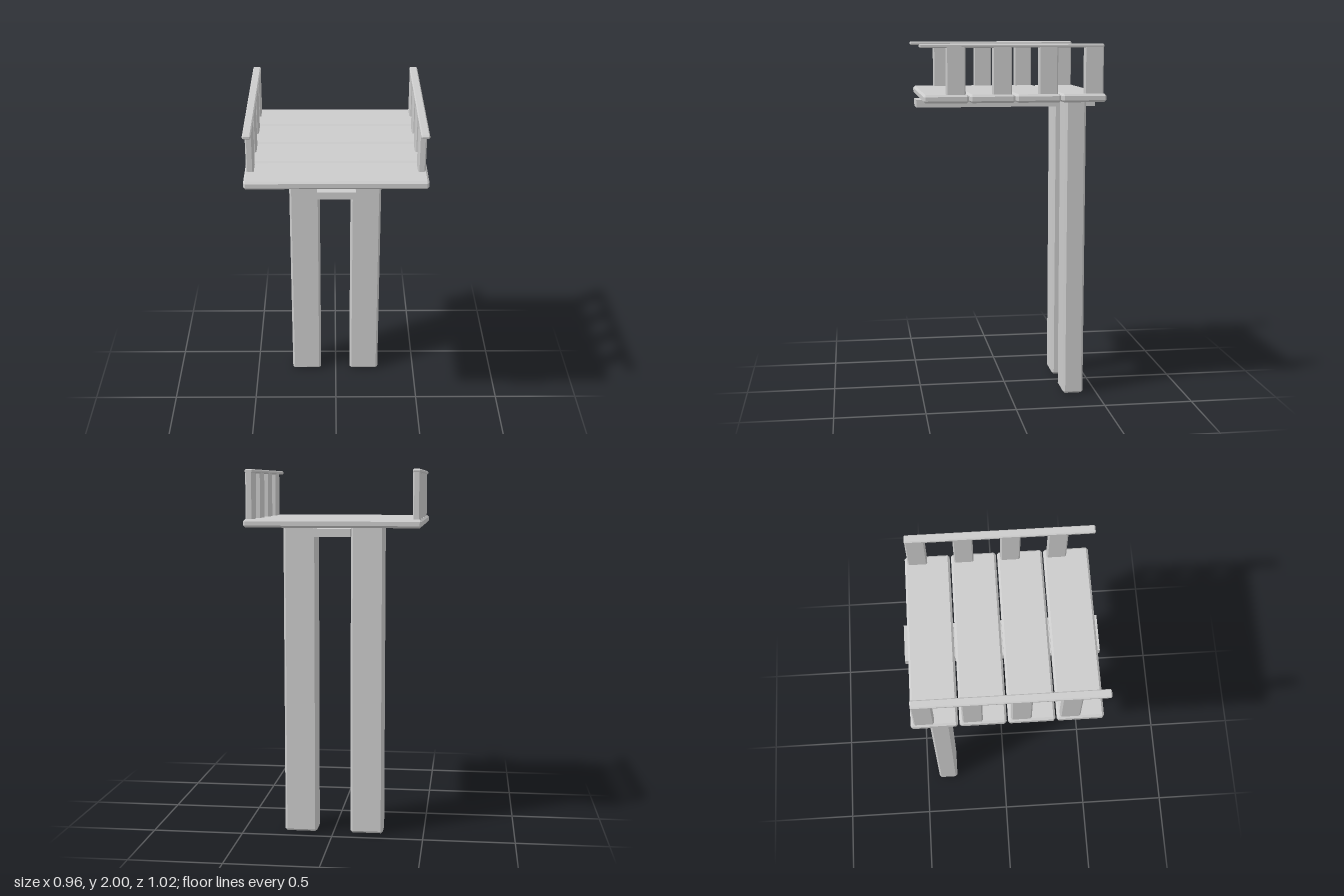
import * as THREE from 'three';
import { ConvexGeometry } from 'three/addons/geometries/ConvexGeometry.js';

// Box with chamfered edges, as the hull of its 24 corner points
function chamferBox(w, h, d, b) {
  const half = [w / 2, h / 2, d / 2];
  const points = [];
  for (const sx of [-1, 1]) for (const sy of [-1, 1]) for (const sz of [-1, 1]) {
    for (let full = 0; full < 3; full++) {
      const p = half.map((v, i) => (i === full ? v : v - b));
      points.push(new THREE.Vector3(sx * p[0], sy * p[1], sz * p[2]));
    }
  }
  return new ConvexGeometry(points);
}

export function createModel() {
  const model = new THREE.Group();
  model.name = 'raisedPlatform';
  const grey = new THREE.MeshStandardMaterial({ color: 0xcccccc });
  grey.name = 'plain grey';

  // Adds a box spanning the given ranges, chamfered when bevel > 0
  function part(name, [x0, x1], [y0, y1], [z0, z1], bevel = 0) {
    const size = [x1 - x0, y1 - y0, z1 - z0];
    const geometry = bevel ? chamferBox(...size, bevel) : new THREE.BoxGeometry(...size);
    const mesh = new THREE.Mesh(geometry, grey);
    mesh.name = name;
    mesh.position.set((x0 + x1) / 2, (y0 + y1) / 2, (z0 + z1) / 2);
    model.add(mesh);
  }

  // Deck planks, running side to side
  for (let i = 0; i < 4; i++) {
    const z = -0.37 + i * 0.247;
    part('deckPlank', [-0.478, 0.478], [1.69, 1.735], [z - 0.12, z + 0.12], 0.011);
  }

  // Beam under the deck
  part('supportBeam', [-0.1, 0.1], [1.643, 1.685], [-0.51, 0.507]);

  // Two tall legs near the back
  part('leg', [-0.276, -0.095], [0, 1.7], [-0.423, -0.307], 0.012);
  part('leg', [0.09, 0.271], [0, 1.7], [-0.423, -0.307], 0.012);

  // Side railings: four flat posts and a thin handrail each
  for (const x of [-0.449, 0.446]) {
    for (let i = 0; i < 4; i++) {
      const z = -0.422 + i * 0.247;
      part('railingPost', [x - 0.02, x + 0.02], [1.722, 1.99], [z - 0.052, z + 0.052], 0.007);
    }
    part('handrail', [x - 0.022, x + 0.022], [1.979, 2], [-0.475, 0.51], 0.006);
  }
  return model;
}
